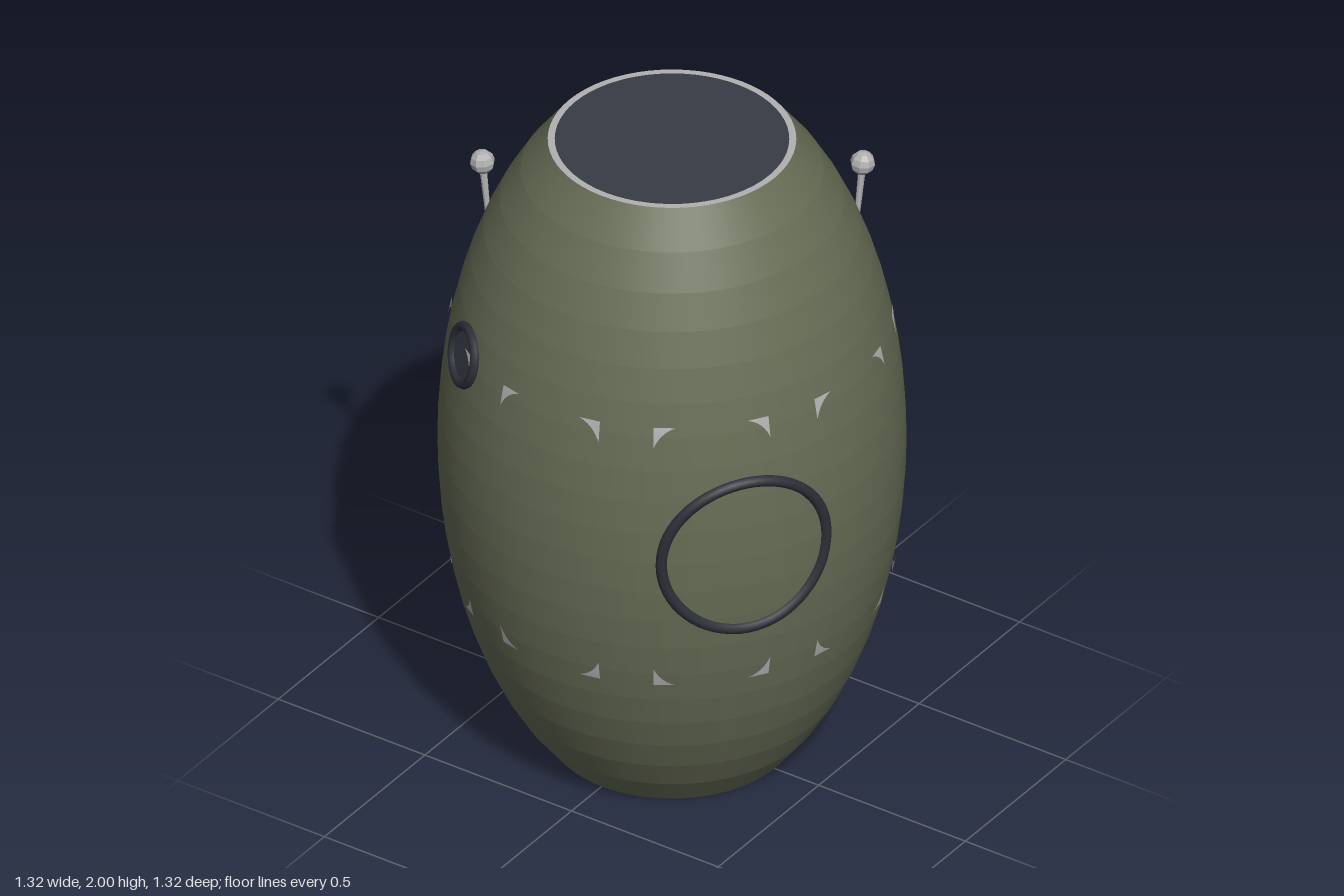
import * as THREE from 'three';
import { mergeGeometries } from 'three/addons/utils/BufferGeometryUtils.js';

const mat = (name, color, extra = {}) => {
  const m = new THREE.MeshStandardMaterial({ color, ...extra });
  m.name = name;
  return m;
};

// Hull radius at a height, and a point on the hull (angle 0 faces +z)
const hullRadius = (y) => 0.66 * Math.sqrt(1 - 0.719 * (y - 1) ** 2);
const hullPoint = (angle, y, lift = 0) => {
  const r = hullRadius(y) + lift;
  return new THREE.Vector3(r * Math.sin(angle), y, r * Math.cos(angle));
};

export function createModel() {
  const model = new THREE.Group();
  const olive = mat('olive hull', 0x666c55);
  const dark = mat('dark frame', 0x2b2f37);
  const glass = mat('dark glass', 0x373c45);
  const grey = mat('light grey metal', 0xb0b0b0, { flatShading: true });
  const plate = mat('grey plate', 0xb0b0b0, { side: THREE.DoubleSide });

  const add = (name, geometry, material, parent = model) => {
    const mesh = new THREE.Mesh(geometry, material);
    mesh.name = name;
    parent.add(mesh);
    return mesh;
  };

  // Barrel hull: stacked bands, smooth around and stepped in height
  const bands = [];
  for (let i = 0; i < 20; i++) {
    const y = i / 10;
    const band = new THREE.CylinderGeometry(hullRadius(y + 0.1), hullRadius(y), 0.1, 64, 1, true);
    bands.push(band.translate(0, y + 0.05, 0));
  }
  add('hull', mergeGeometries(bands), olive);
  const end = hullRadius(0);
  add('hullBottom', new THREE.CircleGeometry(end, 64).rotateX(Math.PI / 2), olive);

  // Top hatch: dark disc inside a grey rim
  add('topHatch', new THREE.CircleGeometry(0.33, 64).rotateX(-Math.PI / 2).translate(0, 2, 0), glass);
  add('topRim', new THREE.RingGeometry(0.33, end, 64).rotateX(-Math.PI / 2).translate(0, 2, 0), plate);

  // Large door ring, bent to follow the hull
  const doorPoints = [];
  for (let i = 0; i < 32; i++) {
    const t = (i / 32) * Math.PI * 2;
    const y = 1 + 0.245 * Math.sin(t);
    doorPoints.push(hullPoint(Math.asin((0.245 * Math.cos(t)) / hullRadius(y)), y));
  }
  const doorCurve = new THREE.CatmullRomCurve3(doorPoints, true);
  const door = add('doorRing', new THREE.TubeGeometry(doorCurve, 64, 0.017, 8, true), dark);
  door.rotation.y = Math.atan2(0.8, 0.59);

  // Small porthole, lying on the sloping hull
  const porthole = new THREE.Group();
  porthole.name = 'porthole';
  const pa = -0.633;
  porthole.position.copy(hullPoint(pa, 1.405, 0.002));
  porthole.lookAt(porthole.position.clone().add(new THREE.Vector3(Math.sin(pa), 0.2, Math.cos(pa))));
  add('portholeRing', new THREE.TorusGeometry(0.083, 0.014, 8, 40), dark, porthole);
  add('portholeGlass', new THREE.CircleGeometry(0.08, 40), glass, porthole);
  model.add(porthole);

  // Corner plates of eight panels around the hull
  const corner = new THREE.Shape();
  corner.moveTo(0, 0);
  corner.lineTo(0.063, 0);
  corner.quadraticCurveTo(0.018, -0.014, 0, -0.063);
  corner.closePath();
  const corners = new THREE.Group();
  corners.name = 'panelCorners';
  for (let i = 0; i < 8; i++) {
    for (const sx of [-1, 1]) {
      for (const sy of [-1, 1]) {
        const g = new THREE.ShapeGeometry(corner, 6);
        const p = g.attributes.position;
        for (let k = 0; k < p.count; k++) {
          const angle = (i * Math.PI) / 4 + sx * (0.268 - p.getX(k) / 0.62);
          const v = hullPoint(angle, 1 + sy * (0.435 + p.getY(k)), 0.007);
          p.setXYZ(k, v.x, v.y, v.z);
        }
        // Keep every plate facing outwards
        if (sx * sy > 0) g.index.array.reverse();
        g.index.array.reverse();
        g.computeVertexNormals();
        const n = new THREE.Vector3().fromBufferAttribute(g.attributes.normal, 0);
        const out = new THREE.Vector3().fromBufferAttribute(p, 0).setY(0);
        if (n.dot(out) < 0) {
          g.index.array.reverse();
          g.computeVertexNormals();
        }
        add('panelCorner', g, plate, corners);
      }
    }
  }
  model.add(corners);

  // Two antennas with ball tips
  for (const angle of [Math.atan2(-0.62, 0.04), Math.atan2(0.265, -0.557)]) {
    const antenna = new THREE.Group();
    antenna.name = 'antenna';
    antenna.position.copy(hullPoint(angle, 1.5));
    antenna.rotation.order = 'YXZ';
    antenna.rotation.set(0.107, angle, 0);
    add('antennaStem', new THREE.CylinderGeometry(0.011, 0.007, 0.2, 8).translate(0, 0.1, 0), grey, antenna);
    add('antennaBall', new THREE.SphereGeometry(0.036, 8, 6).translate(0, 0.212, 0), grey, antenna);
    model.add(antenna);
  }
  return model;
}
